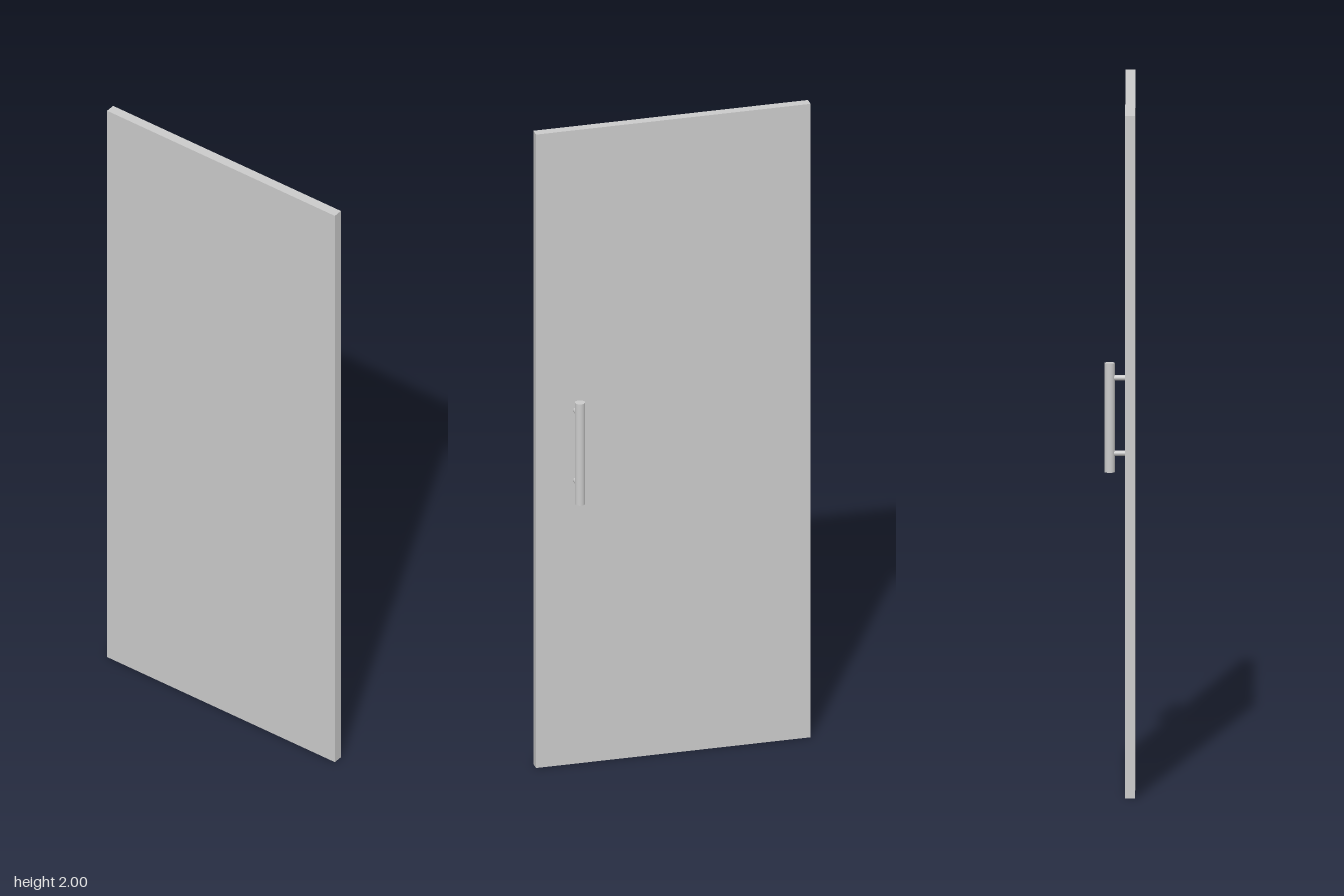
import * as THREE from 'three';

const material = new THREE.MeshStandardMaterial({ color: 0xcccccc });

function addPart(group, name, geometry, x, y, z) {
  const mesh = new THREE.Mesh(geometry, material);
  mesh.name = name;
  mesh.position.set(x, y, z);
  group.add(mesh);
  return mesh;
}

export function createModel() {
  const door = new THREE.Group();
  door.name = 'door';

  // Flat slab, thin along x
  const thickness = 0.029, faceX = -0.016;
  addPart(door, 'doorPanel', new THREE.BoxGeometry(thickness, 2, 0.824), faceX - thickness / 2, 1, 0);

  // Upright round pull bar held off the face by two posts
  const handle = new THREE.Group();
  handle.name = 'handle';
  const barX = 0.03, handleZ = 0.293;
  addPart(handle, 'pullBar', new THREE.CylinderGeometry(0.015, 0.015, 0.32, 32), barX, 1, handleZ);

  const postLength = barX - faceX;
  for (const y of [0.895, 1.116]) {
    const post = addPart(handle, 'handlePost', new THREE.CylinderGeometry(0.008, 0.008, postLength, 24),
      faceX + postLength / 2, y, handleZ);
    post.rotation.z = Math.PI / 2;
  }
  door.add(handle);

  return door;
}
